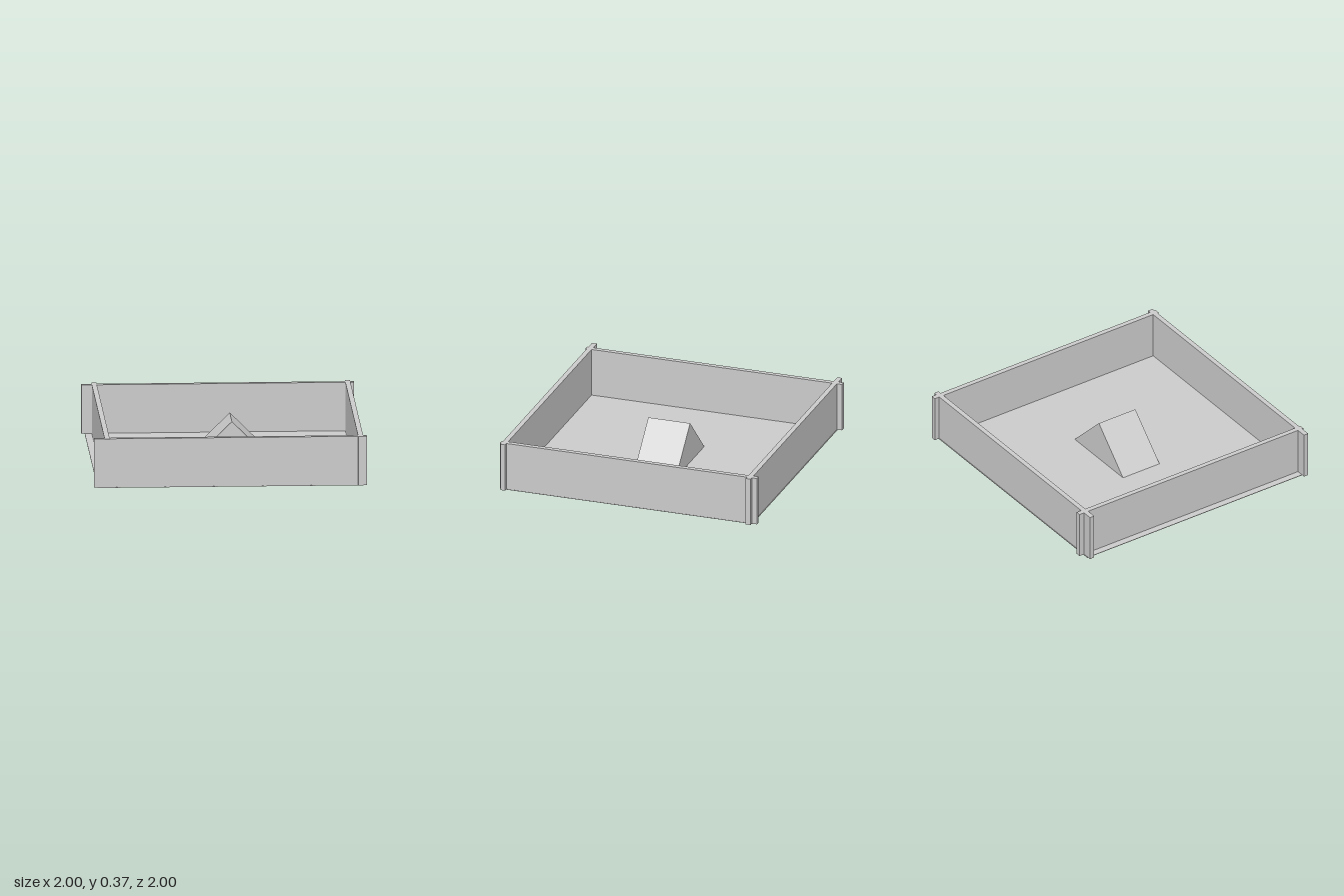
import * as THREE from 'three';

const material = new THREE.MeshStandardMaterial({ color: 0xcccccc, flatShading: true });

// Box given by its extents along each axis
function block(name, [x0, x1], [y0, y1], [z0, z1]) {
  const mesh = new THREE.Mesh(new THREE.BoxGeometry(x1 - x0, y1 - y0, z1 - z0), material);
  mesh.position.set((x0 + x1) / 2, (y0 + y1) / 2, (z0 + z1) / 2);
  mesh.name = name;
  return mesh;
}

export function createModel() {
  const model = new THREE.Group();
  model.name = 'walledArena';

  // Thin floor
  model.add(block('floor', [-0.975, 0.975], [0.006, 0.01], [-0.965, 0.985]));

  // Four walls crossing past each other at the corners
  const t = 0.0375, height = [0.008, 0.373], full = [-1, 1];
  model.add(
    block('frontWall', full, height, [0.947, 0.947 + t]),
    block('backWall', full, height, [-0.96, -0.96 + t]),
    block('rightWall', [-0.923, -0.923 + t], height, [-1, 0.995]),
    block('leftWall', [0.936, 0.936 + t], height, [-1, 0.995]),
  );

  // Two 45 degree ramps back to back, forming a ridge along z
  const run = 0.32, ridgeX = 0.05, ramps = new THREE.Group();
  ramps.name = 'ramps';
  for (const side of [-1, 1]) {
    const profile = new THREE.Shape();
    profile.moveTo(0, 0).lineTo(side * run, 0).lineTo(0, run).closePath();
    const geometry = new THREE.ExtrudeGeometry(profile, { depth: 0.325, bevelEnabled: false });
    const ramp = new THREE.Mesh(geometry, material);
    ramp.name = side < 0 ? 'rightRamp' : 'leftRamp';
    ramp.position.set(ridgeX, 0, -0.152);
    ramps.add(ramp);
  }
  model.add(ramps);
  return model;
}
